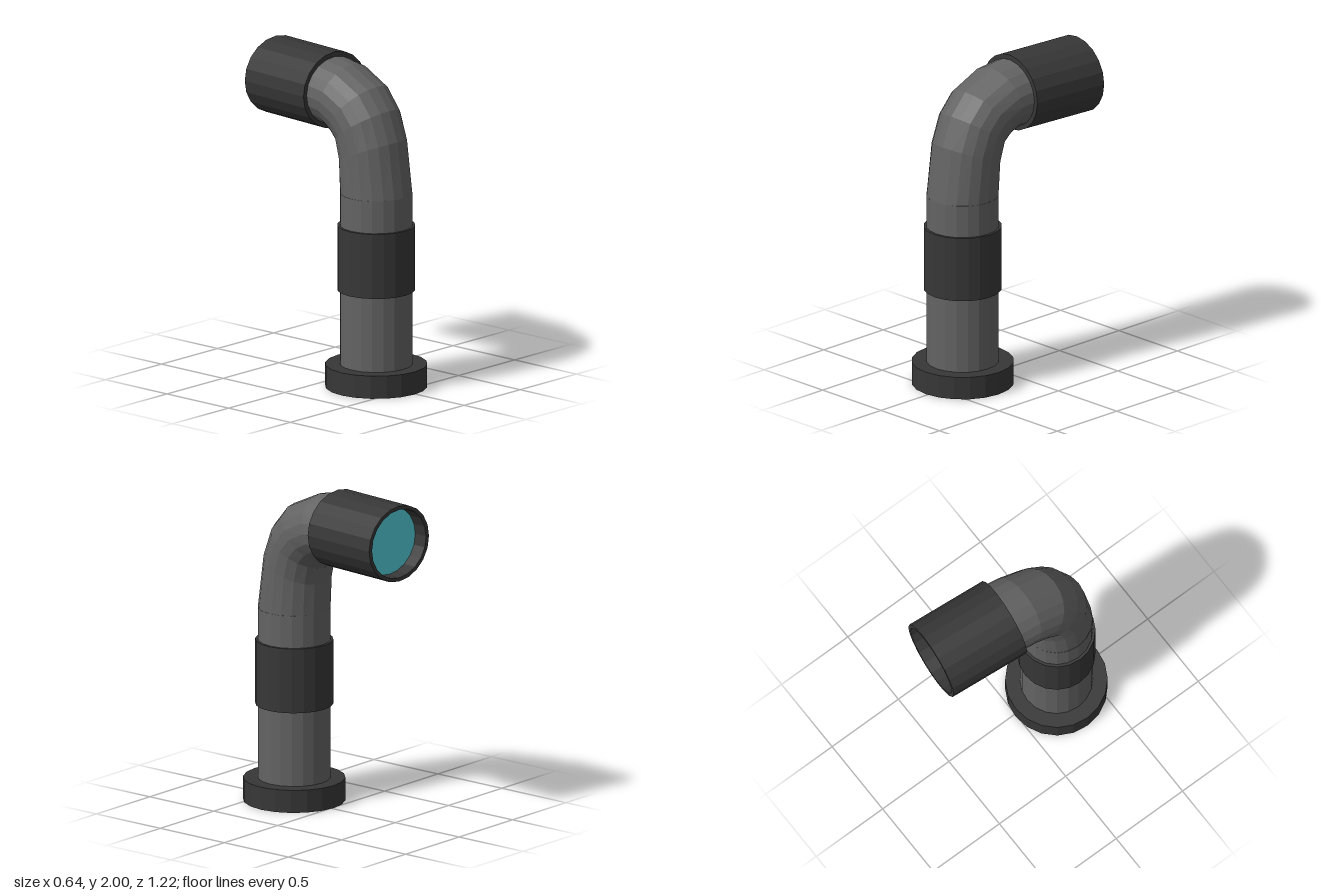
import * as THREE from 'three';

const SIDES = 20;
const mat = (color) => new THREE.MeshStandardMaterial({ color, flatShading: true });

// Elbow: rings given by [outer z, outer y, inner z, inner y, centre x, half width]
function elbowGeometry(sections) {
  const pos = [], index = [];
  for (const [oz, oy, iz, iy, cx, hw] of sections) {
    for (let k = 0; k < SIDES; k++) {
      const a = (k / SIDES) * Math.PI * 2, t = (1 + Math.cos(a)) / 2;
      pos.push(cx + hw * Math.sin(a), iy + (oy - iy) * t, iz + (oz - iz) * t);
    }
  }
  for (let i = 0; i < sections.length - 1; i++) {
    for (let k = 0; k < SIDES; k++) {
      const a = i * SIDES + k, b = i * SIDES + ((k + 1) % SIDES);
      index.push(a, b, b + SIDES, a, b + SIDES, a + SIDES);
    }
  }
  const g = new THREE.BufferGeometry();
  g.setAttribute('position', new THREE.Float32BufferAttribute(pos, 3));
  g.setIndex(index);
  g.computeVertexNormals();
  return g;
}

export function createModel() {
  const model = new THREE.Group();
  const grey = mat(0x636363), dark = mat(0x373737), glass = mat(0x55cfdb);
  const add = (parent, name, geometry, material) => {
    const mesh = new THREE.Mesh(geometry, material);
    mesh.name = name;
    parent.add(mesh);
    return mesh;
  };

  // Upright stack: foot, tube and collar share one axis
  const upright = (name, r, y0, y1, material) => {
    const mesh = add(model, name, new THREE.CylinderGeometry(r, r, y1 - y0, SIDES), material);
    mesh.position.set(-0.014, (y0 + y1) / 2, 0.3);
  };
  upright('base', 0.308, 0, 0.14, dark);
  upright('tube', 0.219, 0.14, 1.2, grey);
  upright('collar', 0.235, 0.6, 1.0, dark);

  // Bent neck leading back into the head
  add(model, 'elbow', elbowGeometry([
    [0.519, 1.2, 0.081, 1.2, -0.014, 0.217],
    [0.47, 1.54, 0.075, 1.385, -0.013, 0.217],
    [0.4, 1.72, 0.052, 1.49, -0.009, 0.219],
    [0.29, 1.85, 0.01, 1.53, -0.002, 0.222],
    [0.08, 1.95, -0.03, 1.555, 0.01, 0.227],
    [-0.1, 1.975, -0.11, 1.565, 0.023, 0.23],
  ]), grey);

  // Head: slightly wide barrel with a recessed lens, turned a little to one side
  const head = new THREE.Group();
  head.name = 'head';
  head.position.set(0.02, 1.766, -0.068);
  head.rotation.y = -0.087;
  head.scale.x = 1.085;
  model.add(head);
  const profile = [[0, 0], [0.235, 0], [0.235, 0.519], [0.212, 0.519], [0.208, 0.43]];
  const barrel = new THREE.LatheGeometry(profile.map(([r, y]) => new THREE.Vector2(r, y)), SIDES);
  add(head, 'barrel', barrel.rotateX(-Math.PI / 2), dark);
  const lens = add(head, 'lens', new THREE.CircleGeometry(0.209, SIDES).rotateY(Math.PI), glass);
  lens.position.z = -0.432;

  return model;
}
